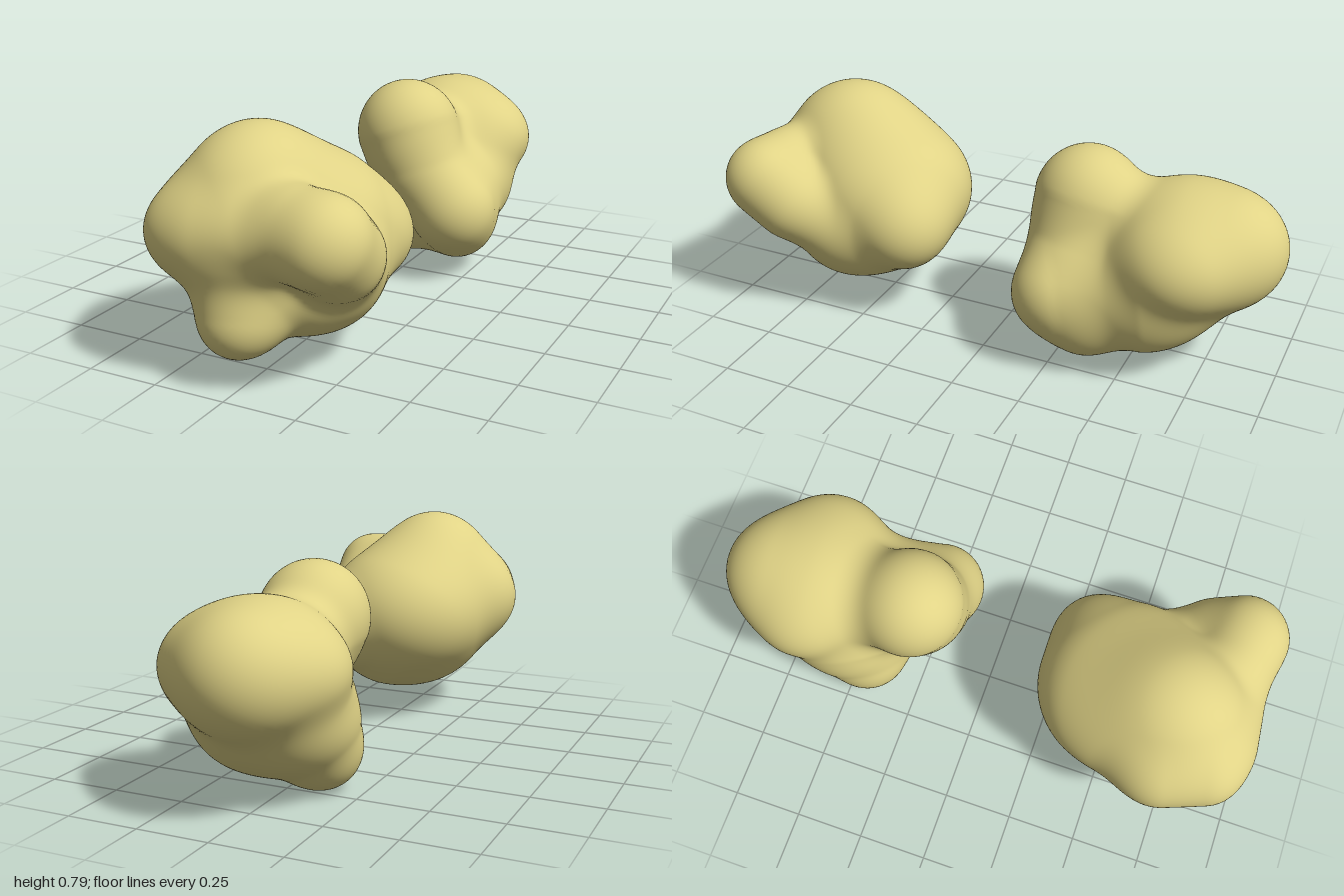
import * as THREE from 'three';
import { mergeVertices } from 'three/addons/utils/BufferGeometryUtils.js';

const V = (x, y, z) => new THREE.Vector3(x, y, z);

// Distance to an ellipsoid
function ellipsoid(center, radii) {
  return (p) => {
    const q = p.clone().sub(center).divide(radii);
    const k0 = q.length();
    const k1 = q.divide(radii).length();
    return k1 < 1e-6 ? -Math.min(radii.x, radii.y, radii.z) : (k0 * (k0 - 1)) / k1;
  };
}

// Distance to a rounded lobe running from a (radius ra) to b (radius rb)
function lobe(a, ra, b, rb) {
  const ab = b.clone().sub(a);
  return (p) => {
    const ap = p.clone().sub(a);
    const t = THREE.MathUtils.clamp(ap.dot(ab) / ab.lengthSq(), 0, 1);
    return ap.addScaledVector(ab, -t).length() - THREE.MathUtils.lerp(ra, rb, t);
  };
}

// Soft union of all parts
function blend(parts, p, k = 0.09) {
  let d = 10;
  for (const part of parts) {
    const e = part(p);
    const h = Math.max(k - Math.abs(d - e), 0) / k;
    d = Math.min(d, e) - h * h * k * 0.25;
  }
  return d;
}

// Shrink-wrap a sphere onto the soft union, working inwards along each ray
function softBody(name, center, parts, material) {
  let geo = new THREE.IcosahedronGeometry(1, 26);
  geo.deleteAttribute('uv');
  geo.deleteAttribute('normal');
  geo = mergeVertices(geo, 1e-4);
  const pos = geo.attributes.position;
  const dir = V(0, 0, 0), p = V(0, 0, 0);
  const at = (t) => blend(parts, p.copy(center).addScaledVector(dir, t));
  for (let i = 0; i < pos.count; i++) {
    dir.fromBufferAttribute(pos, i).normalize();
    let outer = 0.8;
    while (outer > 0.03 && at(outer - 0.015) > 0) outer -= 0.015;
    let inner = outer - 0.015;
    for (let n = 0; n < 10; n++) {
      const mid = (inner + outer) / 2;
      if (at(mid) > 0) outer = mid;
      else inner = mid;
    }
    at(inner);
    pos.setXYZ(i, p.x, p.y, p.z);
  }
  geo.computeVertexNormals();
  const mesh = new THREE.Mesh(geo, material);
  mesh.name = name;
  return mesh;
}

export function createModel() {
  const group = new THREE.Group();
  group.name = 'lumpPair';
  const material = new THREE.MeshStandardMaterial({ color: 0xe0d386 });

  const frontParts = [
    ellipsoid(V(-0.065, 0.47, 0.67), V(0.26, 0.32, 0.29)),           // dome
    ellipsoid(V(-0.01, 0.42, 0.52), V(0.31, 0.265, 0.32)),           // rear bulk
    lobe(V(0.09, 0.37, 0.44), 0.2, V(0.155, 0.365, 0.36), 0.155),    // tail
    ellipsoid(V(0.05, 0.29, 0.6), V(0.26, 0.195, 0.23)),             // underside
    lobe(V(-0.24, 0.46, 0.7), 0.155, V(-0.2, 0.47, 0.84), 0.145),    // right shoulder
    lobe(V(-0.1, 0.47, 0.87), 0.11, V(0.25, 0.5, 0.875), 0.105),     // front ridge
    lobe(V(0.17, 0.545, 0.84), 0.105, V(0.28, 0.52, 0.855), 0.115),  // left lump top
    lobe(V(0.275, 0.51, 0.85), 0.118, V(0.27, 0.43, 0.75), 0.115),   // left lump
    lobe(V(0.27, 0.43, 0.75), 0.11, V(0.23, 0.36, 0.64), 0.1),       // left lump root
    lobe(V(-0.03, 0.215, 0.86), 0.11, V(-0.04, 0.35, 0.82), 0.13),   // lower front lobe
    lobe(V(-0.03, 0.22, 0.83), 0.115, V(-0.03, 0.32, 0.7), 0.17),    // lower front lobe root
  ];
  group.add(softBody('frontLump', V(0, 0.41, 0.66), frontParts, material));

  const backParts = [
    ellipsoid(V(0.025, 0.45, -0.66), V(0.315, 0.215, 0.26)),         // main bulk
    lobe(V(0, 0.45, -0.66), 0.195, V(-0.01, 0.46, -0.8), 0.19),      // rear end
    ellipsoid(V(0.01, 0.27, -0.56), V(0.27, 0.19, 0.24)),            // keel
    lobe(V(0, 0.55, -0.29), 0.187, V(0.06, 0.4, -0.27), 0.15),       // upper lobe
    lobe(V(0, 0.5, -0.3), 0.14, V(0, 0.44, -0.6), 0.16),             // neck
    lobe(V(0.04, 0.45, -0.28), 0.14, V(0.19, 0.28, -0.26), 0.13),    // saddle
    lobe(V(0.205, 0.265, -0.26), 0.142, V(0.1, 0.3, -0.5), 0.21),    // lower left lobe
    lobe(V(-0.11, 0.145, -0.46), 0.13, V(-0.05, 0.25, -0.5), 0.18),  // lower right lobe
    lobe(V(-0.07, 0.15, -0.44), 0.11, V(0.18, 0.18, -0.36), 0.128),  // bottom bridge
  ];
  group.add(softBody('backLump', V(0.03, 0.37, -0.48), backParts, material));

  return group;
}
